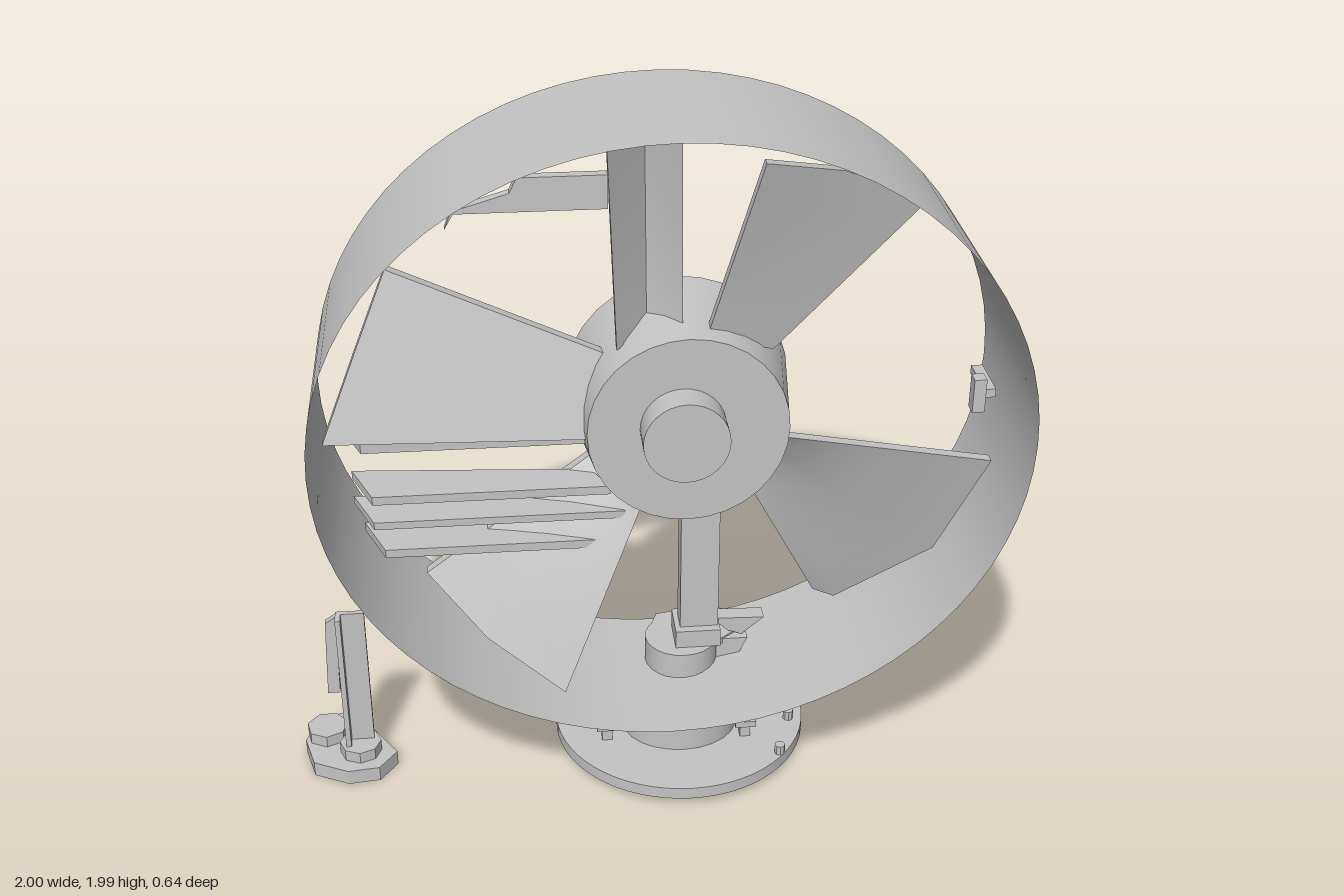
import * as THREE from 'three';
import { toCreasedNormals } from 'three/addons/utils/BufferGeometryUtils.js';

const metal = new THREE.MeshStandardMaterial({ color: 0xc4c4c4, side: THREE.DoubleSide });
metal.name = 'grey metal';

export function createModel() {
  const model = new THREE.Group();
  const add = (name, geometry, x = 0, y = 0, z = 0) => {
    const mesh = new THREE.Mesh(geometry, metal);
    mesh.name = name;
    mesh.position.set(x, y, z);
    model.add(mesh);
    return mesh;
  };
  // Box given by its limits on each axis
  const box = (name, x0, x1, y0, y1, z0, z1) =>
    add(name, new THREE.BoxGeometry(x1 - x0, y1 - y0, z1 - z0), (x0 + x1) / 2, (y0 + y1) / 2, (z0 + z1) / 2);
  const extrude = (pts, depth) => new THREE.ExtrudeGeometry(
    new THREE.Shape(pts.map(([x, y]) => new THREE.Vector2(x, y))), { depth, bevelEnabled: false });
  // Horizontal plate from an (x, z) outline between two heights
  const plate = (name, pts, y0, y1) => {
    const g = extrude(pts.map(([x, z]) => [x, -z]), y1 - y0);
    g.rotateX(-Math.PI / 2);
    return add(name, toCreasedNormals(g, 0.5), 0, y0, 0);
  };
  // Upright drum between two heights
  const drum = (name, x, z, r, y0, y1, sides) =>
    add(name, toCreasedNormals(new THREE.CylinderGeometry(r, r, y1 - y0, sides), 0.5), x, (y0 + y1) / 2, z);

  // Open duct around the blades
  const duct = new THREE.CylinderGeometry(1, 1, 0.555, 72, 1, true);
  duct.rotateX(Math.PI / 2);
  duct.scale(0.943, 0.86, 1);
  add('duct', duct, 0.057, 1.13, 0.037);

  // Tapered hub with a front cap
  const hub = new THREE.CylinderGeometry(0.27, 0.31, 0.31, 32);
  hub.rotateX(Math.PI / 2);
  add('hub', toCreasedNormals(hub, 0.6), 0.105, 1.132, 0);
  const cap = new THREE.CylinderGeometry(0.115, 0.115, 0.1, 32);
  cap.rotateX(Math.PI / 2);
  add('hubCap', toCreasedNormals(cap, 0.6), 0.09, 1.145, 0.195);

  // Blade: two root corners and a tip outline, counterclockwise to clockwise, with a depth for each column
  const blade = (name, root, tip, rootZ, tipZ) => {
    const across = tip.length, steps = 6, t = 0.016, pos = [], index = [];
    for (let i = 0; i <= steps; i++) {
      const v = i / steps, loop = [];
      for (let j = 0; j < across; j++) {
        const u = j / (across - 1);
        const rx = root[0][0] + (root[1][0] - root[0][0]) * u;
        const ry = root[0][1] + (root[1][1] - root[0][1]) * u;
        loop.push([rx + (tip[j][0] - rx) * v, ry + (tip[j][1] - ry) * v, rootZ[j] + (tipZ[j] - rootZ[j]) * v]);
      }
      loop.forEach((p) => pos.push(p[0], p[1], p[2] + t));
      loop.reverse().forEach((p) => pos.push(p[0], p[1], p[2] - t));
    }
    const n = across * 2;
    for (let i = 0; i < steps; i++)
      for (let j = 0; j < n; j++) {
        const a = i * n + j, b = i * n + ((j + 1) % n);
        index.push(a, a + n, b, b, a + n, b + n);
      }
    // Close the tip
    for (let j = 0; j < across - 1; j++) {
      const a = steps * n + j, b = steps * n + n - 1 - j;
      index.push(a, b, a + 1, a + 1, b, b - 1);
    }
    const g = new THREE.BufferGeometry();
    g.setAttribute('position', new THREE.Float32BufferAttribute(pos, 3));
    g.setIndex(index);
    add(name, toCreasedNormals(g, 0.6));
  };
  blade('topBlade', [[-0.08, 1.35], [0.095, 1.38]],
    [[-0.1, 1.905], [0.01, 1.91], [0.09, 1.912]], [0.08, -0.02, 0.06], [0.07, -0.1, 0.06]);
  blade('upperRightBlade', [[0.16, 1.39], [0.34, 1.31]],
    [[0.285, 1.88], [0.5, 1.82], [0.745, 1.7]], [0.08, 0.06, 0.03], [0.16, 0.07, -0.02]);
  blade('rightBlade', [[0.37, 1.07], [0.29, 0.87]],
    [[0.93, 1], [0.82, 0.66], [0.57, 0.425], [0.51, 0.44]], [0.08, 0.03, -0.03, -0.04], [0.14, 0.03, -0.1, -0.12]);
  blade('lowerLeftBlade', [[-0.02, 0.88], [-0.13, 1]],
    [[-0.24, 0.345], [-0.45, 0.48], [-0.61, 0.65]], [0.1, 0.04, -0.02], [0.19, 0.1, 0.01]);
  blade('leftBlade', [[-0.13, 1.1], [-0.1, 1.31]],
    [[-0.845, 1.185], [-0.755, 1.39], [-0.665, 1.59]], [0.1, 0.06, 0.02], [0.22, 0.135, 0.05]);

  // Horizontal slats between the left blades
  [[-0.82, -0.1, 1.08, 1.14], [-0.8, -0.1, 0.92, 0.945], [-0.8, -0.06, 0.843, 0.865], [-0.775, -0.09, 0.752, 0.777]]
    .forEach(([x0, x1, y0, y1]) =>
      plate('slat', [[x0, -0.05], [x0 + 0.06, 0.1], [x1, 0.1], [x1 - 0.05, 0]], y0, y1));

  // Loose bracket at the top and peg at the right
  add('topBracket', extrude([[-0.1, 1.84], [-0.325, 1.84], [-0.345, 1.8], [-0.49, 1.757], [-0.508, 1.71],
    [-0.485, 1.75], [-0.1, 1.75]], 0.03), 0, 0, 0.08);
  box('pegPlate', 0.91, 0.945, 1.065, 1.165, -0.04, 0);
  box('pegStub', 0.945, 0.978, 1.1, 1.125, -0.17, -0.02);

  // Pedestal: foot disc with a straight cut at the back
  const foot = [];
  const start = Math.atan2(0.27, -0.25), end = Math.atan2(0.07, 0.365) + Math.PI * 2;
  for (let i = 0; i <= 40; i++) {
    const a = start + ((end - start) * i) / 40;
    foot.push([0.11 + 0.368 * Math.cos(a), -0.05 - 0.368 * Math.sin(a)]);
  }
  plate('footDisc', foot, 0.03, 0.066);
  drum('pedestal', 0.105, -0.005, 0.17, 0.066, 0.19, 24).scale.z = 0.86;
  drum('collar', 0.112, -0.035, 0.105, 0.19, 0.35, 24);
  box('collarBlock', 0.02, 0.2, 0.2, 0.29, -0.15, 0);
  plate('collarPlate', [[0.01, -0.04], [0.05, -0.15], [0.2, -0.18], [0.3, -0.14], [0.27, -0.04], [0.18, 0.03]], 0.33, 0.35);
  box('post', 0.105, 0.215, 0.34, 0.9, -0.065, 0.005);
  box('postFlange', 0.09, 0.22, 0.35, 0.405, -0.09, 0.03);
  add('flangeFin', extrude([[0.2, 0.405], [0.355, 0.4], [0.29, 0.345], [0.25, 0.36]], 0.05), 0, 0, -0.08);
  add('gusset', extrude([[0.2, 0.345], [0.305, 0.345], [0.235, 0.19], [0.2, 0.19]], 0.04), 0, 0, -0.05);

  // Clips and bolts on the foot disc
  [[-0.115, 0.06], [0.29, 0.08]].forEach(([x, z]) => {
    box('clipStem', x - 0.015, x + 0.015, 0.066, 0.11, z - 0.015, z + 0.015);
    box('clipHead', x - 0.03, x + 0.03, 0.105, 0.125, z - 0.025, z + 0.025);
  });
  [[0.38, 0.18], [0.43, 0.02], [-0.05, -0.25]].forEach(([x, z]) => drum('bolt', x, z, 0.015, 0.066, 0.095, 8));

  // Small side stand
  plate('sideFoot', [[-1, -0.03], [-0.96, -0.13], [-0.9, -0.15], [-0.8, -0.06], [-0.73, 0.05],
    [-0.78, 0.12], [-0.87, 0.13], [-0.97, 0.08]], 0.005, 0.05);
  drum('sideFootLump', -0.935, -0.05, 0.06, 0.05, 0.085, 7);
  drum('sideFootCollar', -0.835, 0.035, 0.06, 0.05, 0.085, 8);
  box('sidePost', -0.875, -0.795, 0.08, 0.525, 0.01, 0.025);
  box('sidePostRib', -0.875, -0.86, 0.08, 0.525, 0.01, 0.06);
  add('sidePanel', extrude([[-0.915, 0.26], [-0.88, 0.26], [-0.875, 0.52], [-0.905, 0.5]], 0.02), 0, 0, 0.01);

  return model;
}
